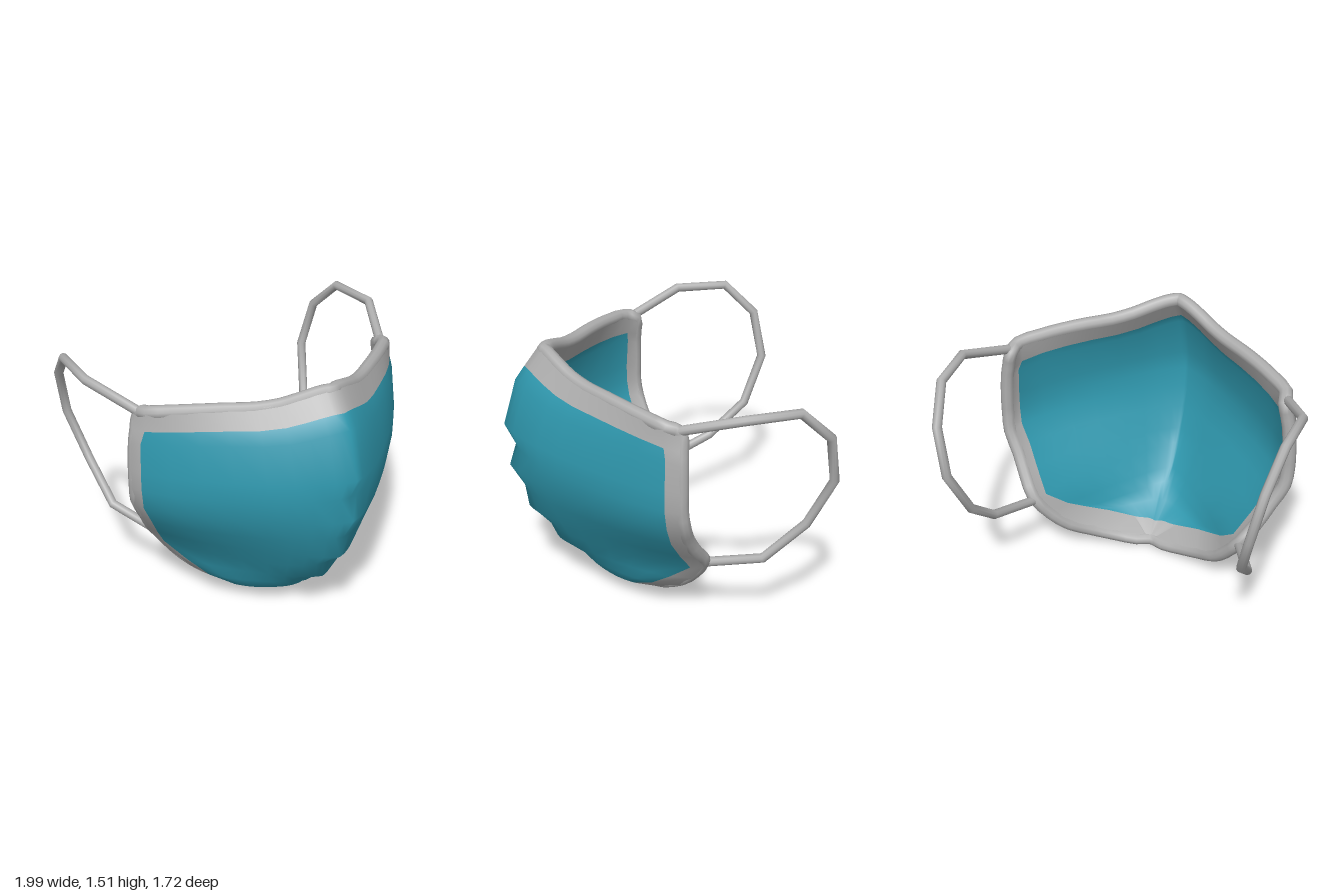
import * as THREE from 'three';

// Each row of the mask, top to bottom: centre y, centre z, pleat depth, bulge,
// edge x, y, z, then the hem line x, y, z where it differs from a plain offset
const ROWS = [
  [1.49, 0.65, 0, 0.05, 0.845, 1.31, 0.0, 0.825, 1.335, 0.085],
  [1.38, 0.73, 0, 0.065, 0.865, 1.22, 0.0, 0.835, 1.235, 0.085],
  [1.3, 0.785, 0, 0.08, 0.88, 1.14, 0.0, 0.858, 1.17, 0.08],
  [1.03, 0.86, 0, 0.09, 0.89, 0.98, 0.0],
  [0.9, 0.855, 0.055, 0.09, 0.89, 0.87, 0.0],
  [0.77, 0.84, 0, 0.09, 0.875, 0.75, -0.015],
  [0.63, 0.8, 0.04, 0.09, 0.81, 0.62, -0.05],
  [0.49, 0.74, 0, 0.09, 0.745, 0.5, -0.11],
  [0.4, 0.67, 0.04, 0.12, 0.675, 0.4, -0.17, 0.645, 0.38, -0.1],
  [0.27, 0.58, 0, 0.07, 0.58, 0.265, -0.13, 0.55, 0.27, 0.0],
  [0.2, 0.49, 0.055, 0.06, 0.49, 0.165, -0.075, 0.46, 0.18, 0.09],
  [0.12, 0.38, 0, 0.05, 0.37, 0.085, 0.01, 0.33, 0.105, 0.17],
  [0.05, 0.24, 0, 0.01, 0.23, 0.03, 0.075, 0.17, 0.06, 0.22],
  [0.0, 0.15, 0, 0, 0.1, 0.003, 0.115, 0.05, 0.0, 0.145],
];
const HALF = [0.06, 0.12, 0.22, 0.32, 0.45, 0.6, 0.75, 0.88, 1, 2]; // 1 = hem line, 2 = edge
const COLS = [...HALF.map((s) => -s).reverse(), 0, ...HALF];
const THICK = 0.075;

function surfacePoint(row, s, pleated) {
  const [yc, zc, pleat, bulge, xe, ye, ze, xh = xe - 0.02, yh = ye + 0.01, zh = ze + 0.085] = row;
  const t = Math.abs(s), side = Math.sign(s);
  if (t > 1) return new THREE.Vector3(side * xe, ye, ze);
  const drop = 0.6 * THREE.MathUtils.smoothstep(t, 0, 0.45) + 0.4 * t ** 3;
  let z = zc + (zh - zc) * t + bulge * (1 - Math.abs(2 * t - 1) ** 3);
  if (pleated) z -= pleat * Math.max(0, 1 - t / 0.4);
  return new THREE.Vector3(side * xh * t, yc + (yh - yc) * drop, z);
}

// Grid surface: group 0 is the cloth, group 1 the hem
function sheet(points, inward) {
  const n = COLS.length, cloth = [], hem = [];
  for (let i = 0; i < ROWS.length - 1; i++) {
    for (let j = 0; j < n - 1; j++) {
      const a = i * n + j, b = a + 1, c = a + n, d = c + 1;
      const isHem = i === 0 || i === ROWS.length - 2 || j === 0 || j === n - 2;
      // mirrored diagonals keep both halves alike
      const tris = j < (n - 1) / 2 ? [a, c, d, a, d, b] : [a, c, b, b, c, d];
      (isHem ? hem : cloth).push(...(inward ? tris.reverse() : tris));
    }
  }
  const g = new THREE.BufferGeometry().setFromPoints(points);
  g.setIndex([...cloth, ...hem]);
  g.addGroup(0, cloth.length, 0);
  g.addGroup(cloth.length, hem.length, 1);
  g.computeVertexNormals();
  return g;
}

// Tube whose rings sit evenly between the given points
function tube(points, segments, radius, closed) {
  const curve = new THREE.CatmullRomCurve3(points, closed, 'centripetal');
  curve.getPointAt = curve.getPoint;
  curve.getTangentAt = curve.getTangent;
  return new THREE.TubeGeometry(curve, segments, radius, 10, closed);
}

export function createModel() {
  const group = new THREE.Group();
  const teal = new THREE.MeshStandardMaterial({ color: 0x2f98ae });
  teal.name = 'tealCloth';
  const grey = new THREE.MeshStandardMaterial({ color: 0xaeaeae });
  grey.name = 'greyTrim';
  const add = (name, geometry, material) => {
    const mesh = new THREE.Mesh(geometry, material);
    mesh.name = name;
    group.add(mesh);
  };
  const grid = (pleated) => ROWS.flatMap((r) => COLS.map((s) => surfacePoint(r, s, pleated)));

  // Outer cloth with pleats along the centre
  add('outerShell', sheet(grid(true), false), [teal, grey]);

  // Smooth lining, set inward along the surface normals
  const base = grid(false);
  const normals = sheet(base, false).getAttribute('normal');
  const offset = (k, depth) =>
    base[k].clone().addScaledVector(new THREE.Vector3().fromBufferAttribute(normals, k), -depth);
  add('innerLining', sheet(base.map((_, k) => offset(k, THICK)), true), [teal, grey]);

  // Rounded rim joining both layers
  const n = COLS.length, last = ROWS.length - 1, loop = [];
  for (let j = 0; j < n; j++) loop.push(j);
  for (let i = 1; i <= last; i++) loop.push(i * n + n - 1);
  loop.push(last * n + (n - 1) / 2);
  for (let i = last; i > 0; i--) loop.push(i * n);
  const rimPoints = loop.map((k) => offset(k, THICK / 2));
  add('rim', tube(rimPoints, rimPoints.length * 2, THICK / 2 + 0.002, true), grey);

  // Ear loops
  const ear = [
    [0.82, 1.32, 0.0], [0.97, 1.425, -0.3], [0.95, 1.435, -0.6], [0.905, 1.26, -0.78],
    [0.85, 0.98, -0.83], [0.785, 0.69, -0.71], [0.765, 0.48, -0.48], [0.63, 0.4, -0.17],
  ];
  for (const side of [1, -1]) {
    const pts = ear.map(([x, y, z]) => new THREE.Vector3(side * x, y, z));
    add(side > 0 ? 'leftEarLoop' : 'rightEarLoop', tube(pts, pts.length - 1, 0.027, false), grey);
  }
  return group;
}
